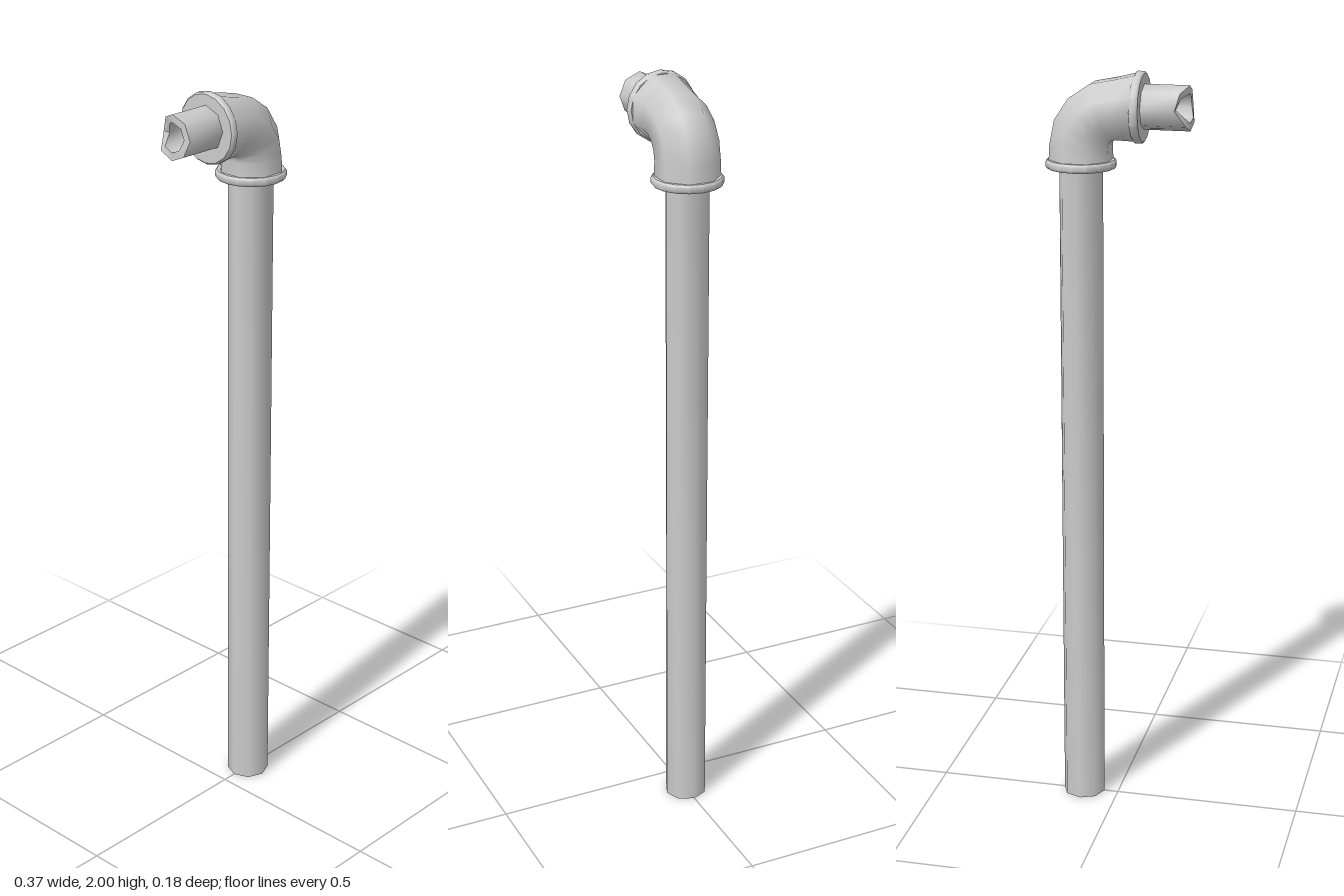
import * as THREE from 'three';
import { toCreasedNormals } from 'three/addons/utils/BufferGeometryUtils.js';

const material = new THREE.MeshStandardMaterial({ color: 0xcccccc });
const PIPE_X = 0.095, ARM_Y = 1.911, QUARTER = Math.PI / 2;

// One polygon ring in the bend plane; tilt 0 faces up, a quarter turn faces -x
function ring(x, y, tilt, r, sides = 8, phase = 0) {
  return Array.from({ length: sides }, (_, j) => {
    const a = phase + (j / sides) * Math.PI * 2, n = r * Math.cos(a);
    return new THREE.Vector3(x + n * Math.cos(tilt), y + n * Math.sin(tilt), -r * Math.sin(a));
  });
}

// Skin a sequence of rings
function loft(name, rings, crease) {
  const sides = rings[0].length, index = [];
  for (let i = 0; i < rings.length - 1; i++) {
    for (let j = 0; j < sides; j++) {
      const a = i * sides + j, b = i * sides + (j + 1) % sides;
      index.push(a, b, a + sides, b, b + sides, a + sides);
    }
  }
  const geometry = new THREE.BufferGeometry().setFromPoints(rings.flat());
  geometry.setIndex(index);
  const mesh = new THREE.Mesh(toCreasedNormals(geometry, crease), material);
  mesh.name = name;
  return mesh;
}

// Thin collar with a rounded rim, centred on a point of the pipe run
function collar(name, x, y, tilt) {
  const profile = [[-0.011, 0], [-0.011, 0.086], [-0.006, 0.0905], [0.006, 0.0905], [0.011, 0.086], [0.011, 0]];
  return loft(name, profile.map(([d, r]) =>
    ring(x - d * Math.sin(tilt), y + d * Math.cos(tilt), tilt, r, 16)), 0.8);
}

export function createModel() {
  const group = new THREE.Group();
  group.name = 'bentPipe';

  // Long upright pipe, bored from below
  const upright = [[1.74, 0], [1.74, 0.037], [0, 0.037], [0, 0.057], [1.77, 0.057]];
  group.add(loft('uprightPipe', upright.map(([y, r]) => ring(PIPE_X, y, 0, r)), 0.9));

  // Elbow with slightly flared mouths
  const phase = Math.PI / 8, elbow = [ring(PIPE_X, 1.763, 0, 0.083, 8, phase)];
  for (let i = 0; i <= 4; i++) {
    const t = (i / 4) * QUARTER;
    elbow.push(ring(0.095 * Math.cos(t), 1.81 + 0.095 * Math.sin(t), t, 0.081, 8, phase));
  }
  elbow.push(ring(-0.055, ARM_Y, QUARTER, 0.089, 8, phase));
  group.add(loft('elbow', elbow, 0.9));

  group.add(collar('lowerCollar', PIPE_X, 1.763, 0));
  group.add(collar('upperCollar', -0.057, 1.909, QUARTER));

  // Short stub with an uneven broken end
  const tips = [-0.183, -0.165, -0.155, -0.182, -0.185, -0.187, -0.181, -0.181];
  const broken = (r) => ring(0, ARM_Y, QUARTER, r).map((p, j) => p.setX(tips[j]));
  group.add(loft('brokenStub', [
    ring(-0.045, ARM_Y, QUARTER, 0.057), broken(0.057), broken(0.037),
    ring(-0.075, ARM_Y, QUARTER, 0.037), ring(-0.075, ARM_Y, QUARTER, 0),
  ], 0.9));

  return group;
}
